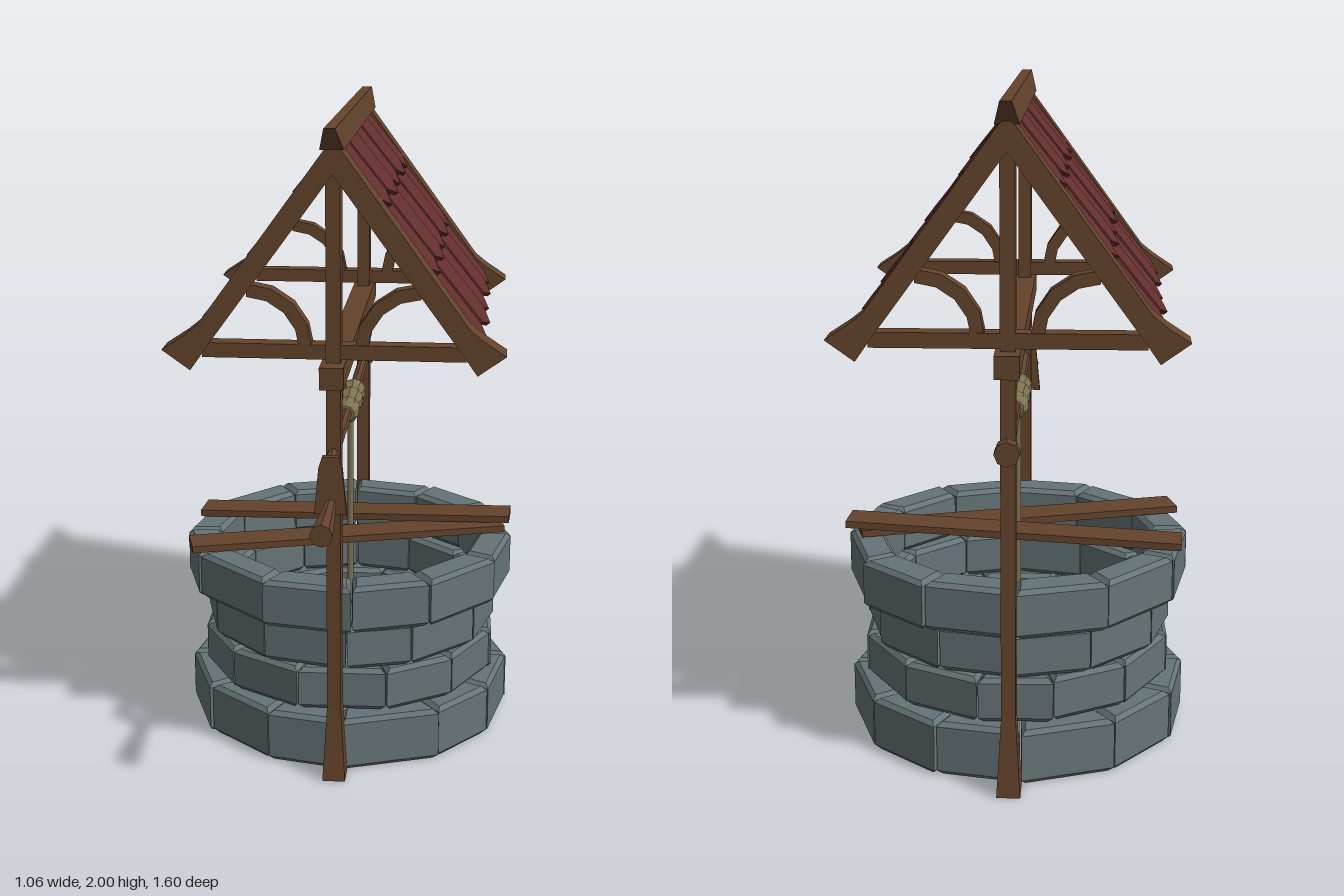
import * as THREE from 'three';

const mat = (name, color) => {
  const m = new THREE.MeshStandardMaterial({ color });
  m.name = name;
  return m;
};

export function createModel() {
  const wood = mat('brown wood', 0x64432c);
  const stone = mat('grey stone', 0x667477);
  const red = mat('red shingle', 0x65302f);
  const ropeMat = mat('straw rope', 0x7d7350);

  const model = new THREE.Group();
  model.name = 'well';
  const wellZ = -0.135;

  let seed = 7;
  const rand = () => (seed = (seed * 16807) % 2147483647) / 2147483647 - 0.5;

  const add = (name, geo, material, x = 0, y = 0, z = 0, parent = model) => {
    const mesh = new THREE.Mesh(geo, material);
    mesh.name = name;
    mesh.position.set(x, y, z);
    parent.add(mesh);
    return mesh;
  };

  // Flat-sided column through rectangles [y, halfX, halfZ], bottom to top
  const loft = (sections) => {
    const n = sections.length - 1;
    const geo = new THREE.BoxGeometry(2, n, 2, 1, n, 1).toNonIndexed();
    const p = geo.attributes.position;
    for (let i = 0; i < p.count; i++) {
      const [y, hx, hz] = sections[Math.round(p.getY(i) + n / 2)];
      p.setXYZ(i, p.getX(i) * hx, y, p.getZ(i) * hz);
    }
    geo.computeVertexNormals();
    return geo;
  };

  // Extruded outline, centred on its depth
  const slab = (points, depth) => {
    const shape = new THREE.Shape(points.map(([x, y]) => new THREE.Vector2(x, y)));
    return new THREE.ExtrudeGeometry(shape, { depth, bevelEnabled: false }).translate(0, 0, -depth / 2);
  };

  const rod = (rFront, rBack, length, sides = 8) =>
    new THREE.CylinderGeometry(rFront, rBack, length, sides).rotateX(Math.PI / 2).toNonIndexed();
  const flat = (geo) => { geo.computeVertexNormals(); return geo; };

  // Stone courses: [bottom, top, outer radius, inner radius, starting angle]
  const courses = [
    [0, 0.17, 0.525, 0.425, 0.08],
    [0.175, 0.313, 0.482, 0.40, 0.28],
    [0.318, 0.457, 0.478, 0.40, 0.02],
    [0.462, 0.612, 0.535, 0.425, 0.05],
  ];
  const wall = new THREE.Group();
  wall.name = 'stoneWall';
  wall.position.z = wellZ;
  model.add(wall);
  const count = 12, bevel = 0.014;
  for (const [y0, y1, ro, ri, start] of courses) {
    const cuts = Array.from({ length: count }, (_, i) => start + (i / count) * Math.PI * 2 + rand() * 0.1);
    cuts.push(cuts[0] + Math.PI * 2);
    for (let i = 0; i < count; i++) {
      const a = cuts[i] + 0.005, b = cuts[i + 1] - 0.005, r = ro + rand() * 0.012;
      const at = (rad, t) => new THREE.Vector2(Math.sin(t) * rad, -Math.cos(t) * rad);
      const shape = new THREE.Shape([at(r, a), at(r, b), at(ri, b), at(ri, a)]);
      const geo = new THREE.ExtrudeGeometry(shape, {
        depth: y1 - y0 - 2 * bevel, bevelThickness: bevel, bevelSize: bevel,
        bevelOffset: -bevel, bevelSegments: 1,
      });
      geo.translate(0, 0, bevel).rotateX(-Math.PI / 2);
      add('stoneBlock', geo, stone, 0, y0, 0, wall);
    }
  }

  // Gable frames: post, tie beam, rafters and curved braces
  for (const [name, postZ, gableZ] of [['front', 0.41, 0.41], ['back', -0.687, -0.698]]) {
    add(name + 'Post', loft([[0, 0.035, 0.052], [0.1, 0.029, 0.045], [0.24, 0.021, 0.036], [1.88, 0.021, 0.036]]),
      wood, 0, 0, postZ);
    add(name + 'TieBeam', new THREE.BoxGeometry(0.76, 0.043, 0.056), wood, 0, 1.355, gableZ);
    for (const s of [1, -1]) {
      const rafter = [[0, 1.955], [0.026, 1.93], [0.39, 1.432], [0.43, 1.4], [0.495, 1.357], [0.413, 1.298],
        [0.37, 1.36], [0, 1.865]].map(([x, y]) => [x * s, y]);
      add(name + 'Rafter', slab(rafter, 0.094), wood, 0, 0, gableZ);
      const arc = (r) => [0, 1, 2, 3, 4].map((i) => {
        const t = Math.PI / 2 + (i / 4) * (Math.PI / 2);
        return [s * (0.25 + r * Math.cos(t)), 1.36 + r * Math.sin(t)];
      });
      add(name + 'CurvedBrace', slab([...arc(0.19), ...arc(0.152).reverse()], 0.05), wood, 0, 0, gableZ);
    }
  }
  add('longBeam', new THREE.BoxGeometry(0.07, 0.065, 1.285), wood, 0, 1.293, -0.1375);
  add('ridgeCap', loft([[1.935, 0.034, 0.605], [2.0, 0.016, 0.672]]), wood, 0, 0, -0.13);

  // Roof slopes: a backing board with three rows of pointed shingles
  const roofZ = -0.145;
  const columns = [-0.653, -0.48, -0.25, -0.055, 0.18, 0.365];
  for (const s of [1, -1]) {
    const slope = new THREE.Group();
    slope.name = s > 0 ? 'leftRoofSlope' : 'rightRoofSlope';
    slope.position.set(0, 1.966, roofZ);
    slope.rotation.set(-0.628, (s * Math.PI) / 2, 0, 'YXZ');
    model.add(slope);
    add('roofBoard', new THREE.BoxGeometry(1.016, 0.67, 0.016), red, 0, -0.365, -0.032, slope);
    [0.262, 0.505, 0.748].forEach((tip, row) => {
      for (let c = 0; c < columns.length - 1; c++) {
        const x0 = -s * (columns[c] - roofZ), x1 = -s * (columns[c + 1] - roofZ);
        const top = Math.min(0.26, tip - 0.02);
        const outline = [[x0, 0], [x1, 0], [x1, -top + 0.036], [(x0 + x1) / 2, -top], [x0, -top + 0.036]];
        const shingle = add('shingle', slab(outline, 0.014), red, 0, top - tip,
          c % 2 ? -0.012 : -0.017 - row * 0.0005, slope);
        shingle.rotation.x = -0.05;
      }
    });
  }

  // Windlass: axle, end knob, crank and handle
  add('axle', flat(rod(0.018, 0.018, 1.28)), wood, 0, 1.052, -0.105);
  add('axleKnob', flat(rod(0.036, 0.036, 0.042)), wood, 0, 1.052, -0.761);
  add('crankArm', loft([[0.9, 0.047, 0.011], [1.04, 0.034, 0.011], [1.072, 0.024, 0.011]]), wood, 0, 0, 0.529);
  add('crankHandle', flat(rod(0.033, 0.017, 0.265)), wood, 0, 0.929, 0.6675);

  // Wound rope and its hanging end
  const coil = [[0, -0.16], [0.026, -0.16], [0.038, -0.135], [0.041, -0.1], [0.032, -0.06], [0.041, -0.02],
    [0.041, 0.02], [0.032, 0.06], [0.041, 0.1], [0.038, 0.135], [0.026, 0.16], [0, 0.16]];
  const coilGeo = new THREE.LatheGeometry(coil.map(([r, y]) => new THREE.Vector2(r, y)), 10);
  add('ropeCoil', flat(coilGeo.rotateX(Math.PI / 2).toNonIndexed()), ropeMat, 0, 1.052, -0.14);
  add('hangingRope', new THREE.CylinderGeometry(0.01, 0.01, 0.68, 8), ropeMat, 0, 0.7, wellZ);

  // Two loose planks crossing on the rim
  add('lowerPlank', new THREE.BoxGeometry(1.03, 0.022, 0.11), wood, 0, 0.626, -0.045).rotation.y = 0.28;
  const upper = add('upperPlank', new THREE.BoxGeometry(1.04, 0.022, 0.11), wood, 0.008, 0.641, -0.225);
  upper.rotation.set(0, -0.067, 0.033);

  return model;
}
